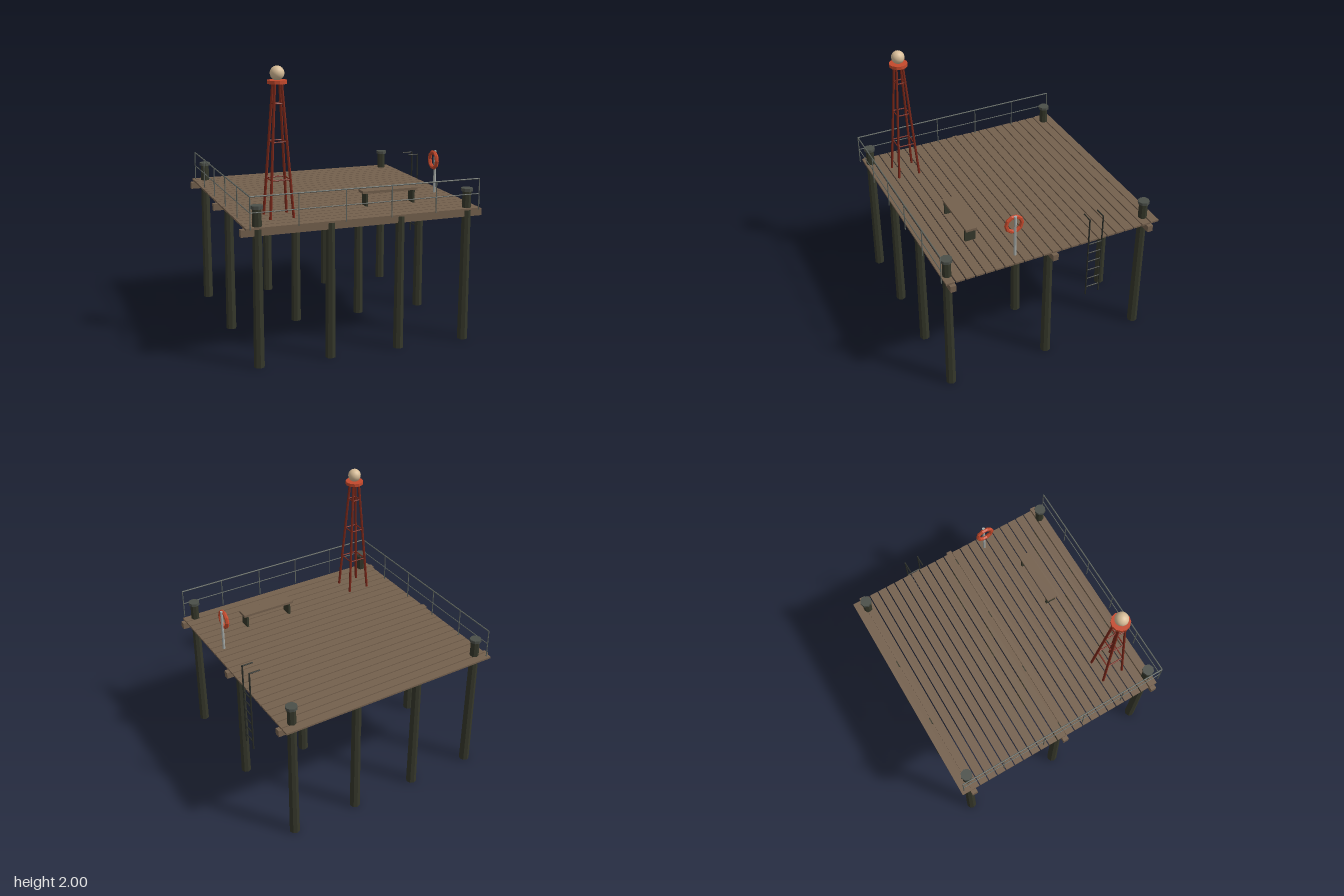
import * as THREE from 'three';

const mat = (name, color) => {
  const m = new THREE.MeshStandardMaterial({ color, flatShading: true });
  m.name = name;
  return m;
};

export function createModel() {
  const wood = mat('weathered wood', 0x74604d);
  const pileWood = mat('tarred pile wood', 0x35372a);
  const capMetal = mat('pile cap metal', 0x4b4f49);
  const railMetal = mat('railing steel', 0x5f655f);
  const ladderMetal = mat('ladder iron', 0x2a2d28);
  const towerRed = mat('tower dark red', 0x7a2719);
  const orange = mat('signal orange', 0xc4492c);
  const lampCream = mat('lamp cream', 0xd8bd98);
  const postGrey = mat('post grey', 0xa6aba8);

  const model = new THREE.Group();
  const group = (name) => {
    const g = new THREE.Group();
    g.name = name;
    model.add(g);
    return g;
  };
  const add = (parent, name, geometry, material, x = 0, y = 0, z = 0) => {
    const mesh = new THREE.Mesh(geometry, material);
    mesh.name = name;
    mesh.position.set(x, y, z);
    parent.add(mesh);
    return mesh;
  };
  const box = (parent, name, w, h, d, material, x, y, z) =>
    add(parent, name, new THREE.BoxGeometry(w, h, d), material, x, y, z);
  // Round bar between two points
  const bar = (parent, name, a, b, r, material, sides = 6) => {
    const p = new THREE.Vector3(...a), q = new THREE.Vector3(...b);
    const dir = q.clone().sub(p);
    const mesh = add(parent, name, new THREE.CylinderGeometry(r, r, dir.length(), sides), material);
    mesh.position.copy(p).add(q).multiplyScalar(0.5);
    mesh.quaternion.setFromUnitVectors(new THREE.Vector3(0, 1, 0), dir.normalize());
  };

  const deckTop = 0.98;
  const rows = [-0.765, 0.003, 0.77];

  // Piles: corner piles rise through the deck and carry caps
  const piles = group('piles');
  for (const [r, z] of rows.entries()) {
    for (let c = 0; c < 4; c++) {
      const x = -0.768 + c * 0.511;
      const corner = r !== 1 && (c === 0 || c === 3);
      const h = corner ? 1.1 : 0.972;
      add(piles, 'pile', new THREE.CylinderGeometry(0.032, 0.038, h, 8), pileWood, x, h / 2, z);
      if (corner) add(piles, 'pileCap', new THREE.CylinderGeometry(0.043, 0.043, 0.022, 8), capMetal, x, 1.11, z);
    }
  }

  // Cross beams under the deck
  const beams = group('beams');
  for (const z of rows) box(beams, 'beam', 1.76, 0.049, 0.042, wood, -0.004, 0.942, z);

  // Deck planks
  const deck = group('deck');
  for (let i = 0; i < 23; i++) {
    box(deck, 'plank', 1.706, 0.013, 0.0645, wood, -0.002, deckTop - 0.0065, -0.8177 + i * 0.0726);
  }

  // Railings along the front and the right side
  const railing = group('railing');
  const corner = [-0.832, 0.835];
  for (const end of [[0.826, 0.835], [-0.832, -0.826]]) {
    for (const [y, r] of [[1.196, 0.005], [1.088, 0.0035]]) {
      bar(railing, 'rail', [corner[0], y, corner[1]], [end[0], y, end[1]], r, railMetal);
    }
    for (let i = 0; i < 6; i++) {
      const x = THREE.MathUtils.lerp(corner[0], end[0], i / 5);
      const z = THREE.MathUtils.lerp(corner[1], end[1], i / 5);
      bar(railing, 'railPost', [x, 0.975, z], [x, 1.196, z], 0.004, railMetal);
    }
  }

  // Light tower: four leaning legs, three levels of braces, platform and lamp
  const tower = group('lightTower');
  tower.position.set(-0.556, 0, 0.559);
  const spread = (y) => THREE.MathUtils.lerp(0.082, 0.024, (y - deckTop) / (1.885 - deckTop));
  const corners = [[1, 1], [1, -1], [-1, -1], [-1, 1]];
  const at = ([sx, sz], y) => [sx * spread(y), y, sz * spread(y)];
  corners.forEach((c, i) => {
    bar(tower, 'towerLeg', at(c, deckTop), at(c, 1.885), 0.0095, towerRed);
    for (const y of [1.241, 1.496, 1.751]) {
      bar(tower, 'towerBrace', at(c, y), at(corners[(i + 1) % 4], y), 0.005, towerRed);
    }
  });
  add(tower, 'lampPlatform', new THREE.CylinderGeometry(0.068, 0.068, 0.024, 12), orange, 0, 1.893, 0);
  const lamp = lampCream;
  lamp.flatShading = false;
  add(tower, 'lamp', new THREE.SphereGeometry(0.049, 16, 12), lamp, 0, 1.951, 0);

  // Bench
  const bench = group('bench');
  box(bench, 'seat', 0.422, 0.018, 0.085, wood, 0.293, 1.081, 0.47);
  for (const x of [0.113, 0.475]) box(bench, 'benchLeg', 0.016, 0.094, 0.08, pileWood, x, 1.026, 0.472);

  // Life ring on its post
  const lifeRing = group('lifeRingStand');
  add(lifeRing, 'ringPost', new THREE.CylinderGeometry(0.0105, 0.0105, 0.32, 8), postGrey, 0.763, 1.14, 0.263);
  add(lifeRing, 'lifeRing', new THREE.TorusGeometry(0.06, 0.0145, 6, 10), orange, 0.748, 1.229, 0.264)
    .rotation.y = Math.PI / 2;

  // Ladder on the left side, with hooks reaching back over the deck
  const ladder = group('ladder');
  const lx = 0.866, sides = [-0.259, -0.365];
  for (const z of sides) {
    bar(ladder, 'ladderRail', [lx, 0.513, z], [lx, 1.176, z], 0.006, ladderMetal);
    bar(ladder, 'ladderHook', [0.785, 1.172, z], [lx, 1.172, z], 0.005, ladderMetal);
  }
  for (let i = 0; i < 6; i++) {
    const y = 0.578 + i * 0.0765;
    bar(ladder, 'rung', [lx, y, sides[0]], [lx, y, sides[1]], 0.005, ladderMetal);
  }

  return model;
}
